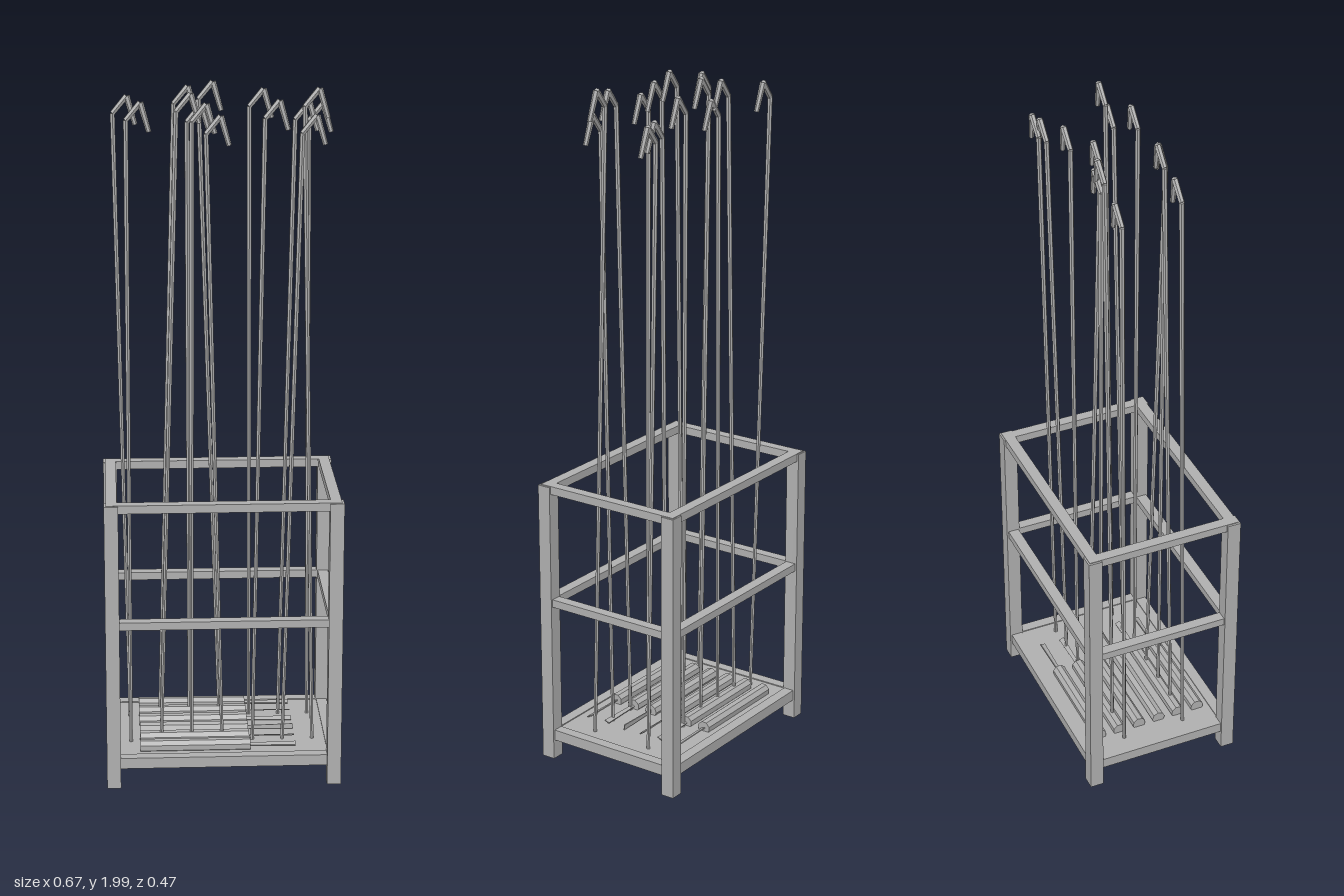
import * as THREE from 'three';

const steel = new THREE.MeshStandardMaterial({ color: 0xb0b0b0, flatShading: true });
steel.name = 'grey steel';

function box(name, w, h, d, x, y, z) {
  const m = new THREE.Mesh(new THREE.BoxGeometry(w, h, d), steel);
  m.name = name;
  m.position.set(x, y, z);
  return m;
}

// Tapered rod between two points
function rod(name, a, b, ra, rb, sides) {
  const dir = b.clone().sub(a);
  const m = new THREE.Mesh(new THREE.CylinderGeometry(rb, ra, dir.length(), sides), steel);
  m.name = name;
  m.position.copy(a).add(b).multiplyScalar(0.5);
  m.quaternion.setFromUnitVectors(new THREE.Vector3(0, 1, 0), dir.normalize());
  return m;
}

function createRack() {
  const g = new THREE.Group();
  g.name = 'rack';
  for (const sx of [-1, 1]) for (const sz of [-1, 1]) {
    g.add(box('cornerPost', 0.04, 0.847, 0.04, sx * 0.316, 0.4235, sz * 0.213));
  }
  // Rails at three heights: [centre y, thickness]
  for (const [y, h] of [[0.074, 0.032], [0.491, 0.023], [0.837, 0.024]]) {
    for (const s of [-1, 1]) {
      g.add(box('longRail', 0.66, h, 0.032, 0, y, s * 0.212));
      g.add(box('shortRail', 0.031, h, 0.392, s * 0.3145, y, 0));
    }
  }
  g.add(box('basePlate', 0.63, 0.028, 0.42, 0, 0.073, 0));
  return g;
}

// Upright hooked rods: base x, then bend x, y, z
const backRow = [
  [-0.265, -0.297, 1.89, -0.118], [-0.177, -0.127, 1.92, -0.092],
  [-0.089, -0.09, 1.87, -0.085], [0, -0.058, 1.935, -0.074],
  [0.088, 0.085, 1.91, -0.098], [0.175, 0.215, 1.87, -0.113],
  [0.262, 0.254, 1.865, -0.12],
];
const frontRow = [
  [-0.265, -0.262, 1.90, 0.066], [-0.177, -0.125, 1.925, 0.08],
  [-0.089, -0.083, 1.90, 0.102], [0, -0.045, 1.87, 0.12],
  [0.088, 0.116, 1.91, 0.112], [0.175, 0.22, 1.865, 0.087],
  [0.262, 0.228, 1.935, 0.066],
];

function hookedRod([bx, x, y, z], baseZ) {
  const g = new THREE.Group();
  g.name = 'hookedRod';
  const base = new THREE.Vector3(bx, 0.085, baseZ);
  const bend = new THREE.Vector3(x, y, z);
  const peak = new THREE.Vector3(x + 0.04, y + 0.048, z - 0.002);
  const tip = new THREE.Vector3(x + 0.063, y - 0.032, z + 0.004);
  g.add(rod('shaft', base, bend, 0.0055, 0.0075, 6));
  g.add(rod('hookArm', bend, peak, 0.008, 0.009, 6));
  g.add(rod('hookTip', peak, tip, 0.009, 0.007, 6));
  return g;
}

// Rods lying on the base: thick grip with a thin blade that widens outward
function lyingRod(z, roll) {
  const g = new THREE.Group();
  g.name = 'lyingRod';
  const grip = new THREE.Mesh(new THREE.CylinderGeometry(0.02, 0.02, 0.317, 8), steel);
  grip.name = 'grip';
  grip.rotation.z = Math.PI / 2;
  grip.position.x = -0.08;
  const geo = new THREE.BoxGeometry(0.132, 0.003, 0.016);
  const p = geo.attributes.position;
  for (let i = 0; i < p.count; i++) if (p.getX(i) < 0) p.setZ(i, p.getZ(i) * 0.6);
  const blade = new THREE.Mesh(geo, steel);
  blade.name = 'blade';
  blade.position.x = 0.144;
  g.add(grip, blade);
  g.rotation.x = roll;
  g.position.set(0, 0.097, z);
  return g;
}

export function createModel() {
  const model = new THREE.Group();
  model.name = 'rodRack';
  model.add(createRack());
  backRow.forEach((r) => model.add(hookedRod(r, -0.094)));
  frontRow.forEach((r) => model.add(hookedRod(r, 0.097)));
  const rolls = [0.3, -0.4, 0.5, 1.5, -0.3, 0.4];
  rolls.forEach((roll, i) => model.add(lyingRod(-0.16 + i * 0.0634, roll)));
  return model;
}
